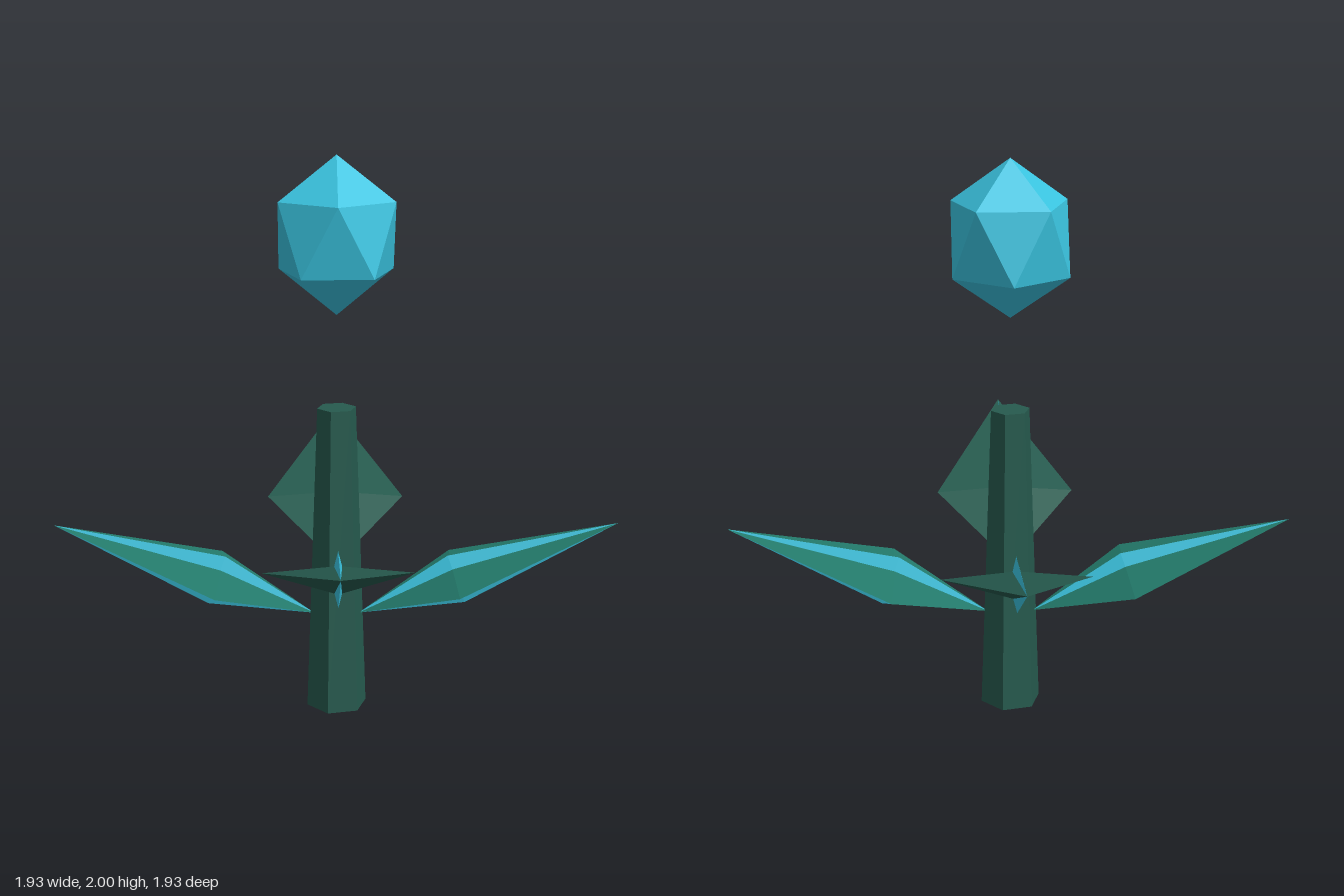
import * as THREE from 'three';

const material = (name, color) => {
  const m = new THREE.MeshStandardMaterial({ color });
  m.name = name;
  return m;
};

// Long faceted blade along +x: pointed root and tip, diamond section at `mid`
function bladeGeometry({ length, mid, up, down, width, lift }) {
  const geo = new THREE.OctahedronGeometry(1, 0);
  const p = geo.attributes.position;
  for (let i = 0; i < p.count; i++) {
    const x = Math.round(p.getX(i)), y = Math.round(p.getY(i)), z = Math.round(p.getZ(i));
    const along = x > 0 ? length : x < 0 ? 0 : mid;
    const height = y > 0 ? up : y < 0 ? -down : z !== 0 ? lift : 0;
    p.setXYZ(i, along, height, z * width);
  }
  geo.computeVertexNormals();
  return geo;
}

export function createModel() {
  const model = new THREE.Group();
  const darkGreen = material('dark green', 0x265a4e);
  const teal = material('teal green', 0x237a6b);
  const cyan = material('crystal cyan', 0x3ac4e0);

  const add = (parent, name, geo, mat) => {
    const mesh = new THREE.Mesh(geo, mat);
    mesh.name = name;
    parent.add(mesh);
    return mesh;
  };

  // Tapered six-sided stem
  const stemGeo = new THREE.CylinderGeometry(0.07, 0.11, 1.12, 6).toNonIndexed();
  stemGeo.computeVertexNormals();
  add(model, 'stem', stemGeo, darkGreen).position.y = 0.56;

  // Floating crystal: icosahedron stood on a corner and stretched upward
  const crystalGeo = new THREE.IcosahedronGeometry(1, 0);
  crystalGeo.rotateZ(-Math.atan(2 / (1 + Math.sqrt(5))));
  crystalGeo.scale(0.235, 0.275, 0.235);
  crystalGeo.computeVertexNormals();
  add(model, 'crystal', crystalGeo, cyan).position.y = 1.725;

  // Four leaves around the stem, alternating low and high
  const leafGeo = bladeGeometry({ length: 0.99, mid: 0.375, up: 0.045, down: 0.05, width: 0.257, lift: 0.022 });
  const ribGeo = bladeGeometry({ length: 0.99, mid: 0.375, up: 0.095, down: 0.095, width: 0.025, lift: 0 });
  for (let i = 0; i < 4; i++) {
    const high = i % 2 === 1;
    const leaf = new THREE.Group();
    leaf.name = high ? 'upperLeaf' : 'lowerLeaf';
    leaf.rotation.y = THREE.MathUtils.degToRad(17.3 + 90 * i);
    const blade = new THREE.Group();
    blade.name = 'tiltedBlade';
    blade.position.set(0.08, high ? 0.51 : 0.35, 0);
    blade.rotation.z = THREE.MathUtils.degToRad(20);
    add(blade, 'leafBlade', leafGeo, high ? darkGreen : teal);
    add(blade, 'leafRib', ribGeo, cyan);
    leaf.add(blade);
    model.add(leaf);
  }
  return model;
}
